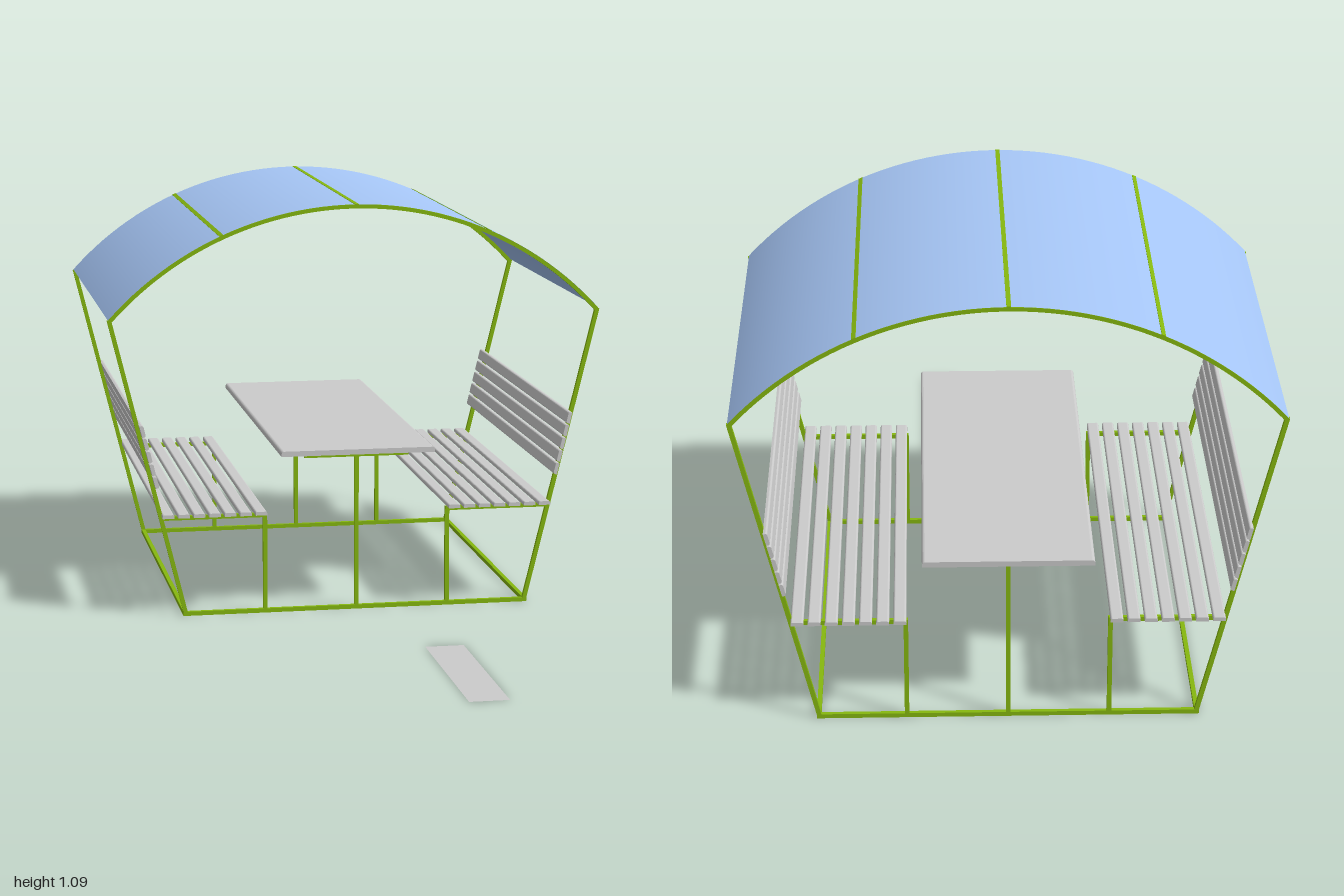
import * as THREE from 'three';

const green = new THREE.MeshStandardMaterial({ color: 0x86b80f });
const blue = new THREE.MeshStandardMaterial({ color: 0xa6c6f6, side: THREE.DoubleSide });
const grey = new THREE.MeshStandardMaterial({ color: 0xcccccc });
const greyThin = new THREE.MeshStandardMaterial({ color: 0xcccccc, side: THREE.DoubleSide });

const T = 0.011; // frame tube thickness
const FRONT = 0.055, BACK = -0.975; // frame ends
const LENGTH = FRONT - BACK, MID = (FRONT + BACK) / 2;
const BOARD_FRONT = 0.085, BOARD_BACK = -1; // wooden boards overhang the frame
const R = 0.885, ARC_Y = 0.2, HALF = Math.asin(0.655 / R); // roof arc

function add(parent, name, geometry, material, x = 0, y = 0, z = 0) {
  const mesh = new THREE.Mesh(geometry, material);
  mesh.name = name;
  mesh.position.set(x, y, z);
  parent.add(mesh);
  return mesh;
}

// Square tube between two points in a plane of constant z
function bar(parent, name, x1, y1, x2, y2, z) {
  const len = Math.hypot(x2 - x1, y2 - y1);
  const mesh = add(parent, name, new THREE.BoxGeometry(len, T, T), green, (x1 + x2) / 2, (y1 + y2) / 2, z);
  mesh.rotation.z = Math.atan2(y2 - y1, x2 - x1);
}

// Board along z with its two upper long edges rounded
function boardGeometry(w, h, r) {
  const s = new THREE.Shape();
  s.moveTo(-w / 2, 0);
  s.lineTo(w / 2, 0);
  s.lineTo(w / 2, h - r);
  s.absarc(w / 2 - r, h - r, r, 0, Math.PI / 2);
  s.lineTo(-w / 2 + r, h);
  s.absarc(-w / 2 + r, h - r, r, Math.PI / 2, Math.PI);
  s.closePath();
  const g = new THREE.ExtrudeGeometry(s, { depth: BOARD_FRONT - BOARD_BACK, bevelEnabled: false, curveSegments: 4 });
  return g.translate(0, 0, BOARD_BACK);
}

function endFrame(z) {
  const g = new THREE.Group();
  g.name = 'endFrame';
  bar(g, 'floorRail', -0.462, T / 2, 0.462, T / 2, z);
  for (const s of [-1, 1]) {
    bar(g, 'post', s * 0.458, 0.003, s * 0.652, 0.795, z);
    bar(g, 'benchLeg', s * 0.246, T, s * 0.246, 0.262, z);
    bar(g, 'benchSupport', s * 0.2405, 0.265, s * 0.524, 0.265, z);
  }
  bar(g, 'tableLeg', 0, T, 0, 0.416, z);
  bar(g, 'tableSupport', -0.14, 0.42, 0.14, 0.42, z);
  // Curved roof rib
  const rib = new THREE.Shape();
  const a0 = Math.PI / 2 - HALF, a1 = Math.PI / 2 + HALF;
  rib.absarc(0, ARC_Y, R - 0.0005, a0, a1, false);
  rib.absarc(0, ARC_Y, R - T, a1, a0, true);
  rib.closePath();
  const geo = new THREE.ExtrudeGeometry(rib, { depth: T, bevelEnabled: false, curveSegments: 48 });
  add(g, 'roofRib', geo, green, 0, 0, z - T / 2);
  return g;
}

export function createModel() {
  const model = new THREE.Group();
  model.name = 'picnicShelter';

  // Two end frames joined by floor rails and roof purlins
  for (const z of [FRONT - T / 2, BACK + T / 2]) model.add(endFrame(z));
  const rail = new THREE.BoxGeometry(T, T, LENGTH);
  for (const s of [-1, 1]) add(model, 'sideFloorRail', rail, green, s * 0.46, T / 2, MID);
  for (const x of [-0.357, 0, 0.357]) {
    const a = Math.asin(x / R), r = R - T / 2 + 0.001;
    const purlin = add(model, 'roofPurlin', rail, green, r * Math.sin(a), ARC_Y + r * Math.cos(a), MID);
    purlin.rotation.z = -a;
  }

  // Curved roof sheet
  const roof = new THREE.CylinderGeometry(R, R, LENGTH, 48, 1, true, -HALF, 2 * HALF);
  roof.rotateX(-Math.PI / 2);
  add(model, 'roofSheet', roof, blue, 0, ARC_Y, MID);

  // Benches: seven seat slats and five backrest slats on each side
  const slat = boardGeometry(0.031, 0.01, 0.005);
  const tilt = Math.atan2(0.194, 0.792);
  for (const s of [-1, 1]) {
    const bench = new THREE.Group();
    bench.name = s > 0 ? 'leftBench' : 'rightBench';
    for (let i = 0; i < 7; i++) add(bench, 'seatSlat', slat, grey, s * (0.26 + i * 0.041), 0.2705, 0);
    for (let i = 0; i < 5; i++) {
      const y = 0.367 + i * 0.0342;
      const x = 0.458 + (y / 0.792) * 0.194 - 0.0055;
      const back = add(bench, 'backSlat', slat, grey, s * x, y, 0);
      back.rotation.z = s * (Math.PI / 2 - tilt);
    }
    model.add(bench);
  }

  // Table top
  add(model, 'tableTop', boardGeometry(0.412, 0.014, 0.008), grey, 0, 0.4255, 0);

  // Flat panel lying on the ground in front
  const panel = new THREE.PlaneGeometry(0.1, 0.52).rotateX(-Math.PI / 2);
  add(model, 'groundPanel', panel, greyThin, 0.15, 0, 0.74);

  return model;
}
